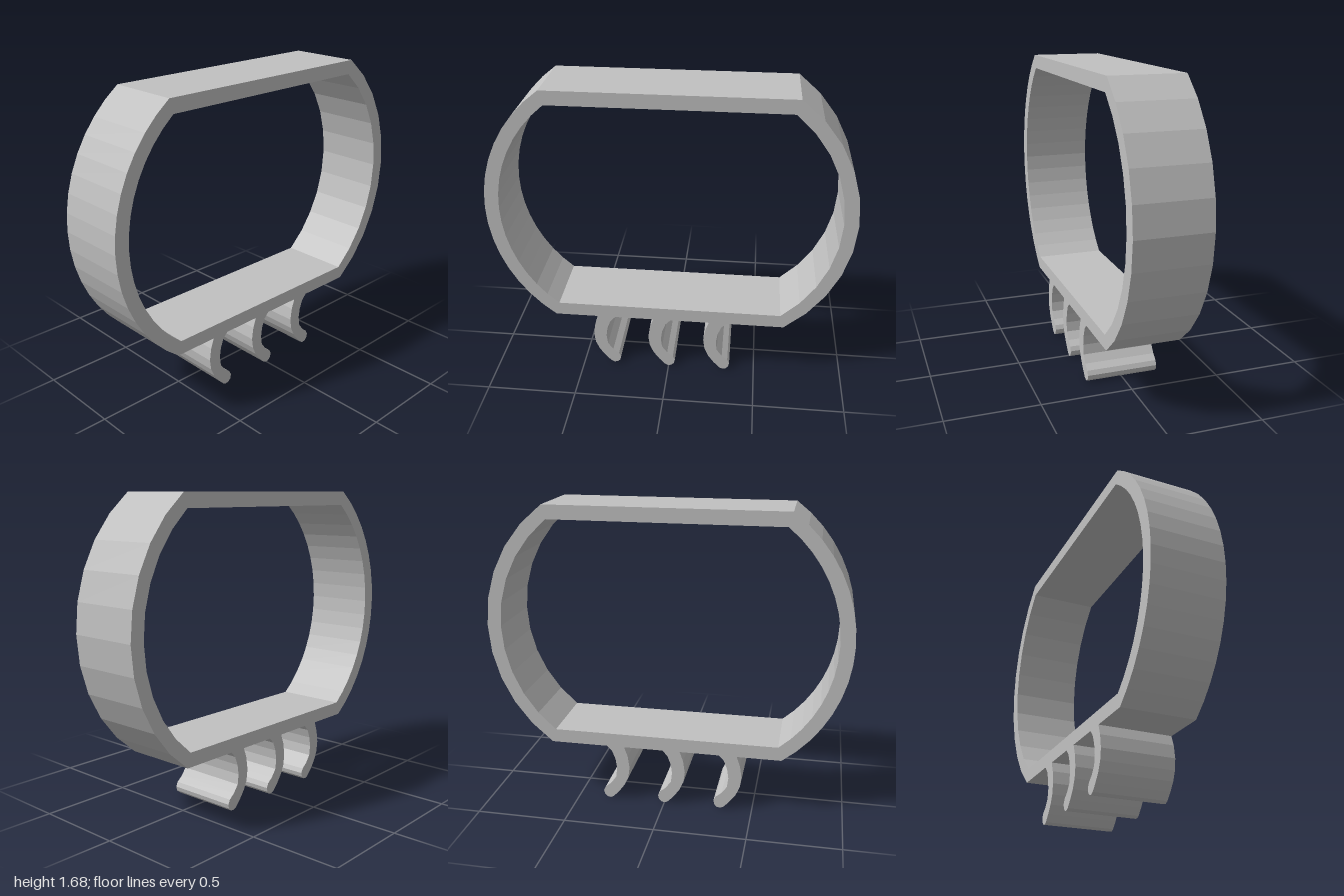
import * as THREE from 'three';

const DEPTH = 0.4;
const MID_Y = 1.003;

// Points of a circular bulge through (side * x, MID_Y -+ h), reaching side * tip at mid height, from bottom to top
function bulge(side, x, tip, h, segments) {
  const sag = tip - x;
  const r = (h * h + sag * sag) / (2 * sag);
  const a = Math.asin(h / r);
  const points = [];
  for (let i = 0; i <= segments; i++) {
    const t = -a + (2 * a * i) / segments;
    points.push(new THREE.Vector2(side * (tip - r + r * Math.cos(t)), MID_Y + r * Math.sin(t)));
  }
  return points;
}

// Flat top and bottom joined by curved ends; the left end has broader facets
function outline(x, tip, h) {
  return [...bulge(1, x, tip, h, 10), ...bulge(-1, x, tip, h, 16).reverse()];
}

function extrude(shape, material, name) {
  const geometry = new THREE.ExtrudeGeometry(shape, { depth: DEPTH, bevelEnabled: false, curveSegments: 8 });
  geometry.translate(0, 0, -DEPTH / 2);
  const mesh = new THREE.Mesh(geometry, material);
  mesh.name = name;
  return mesh;
}

export function createModel() {
  const group = new THREE.Group();
  group.name = 'hookedBand';
  const grey = new THREE.MeshStandardMaterial({ color: 0xc0c0c0, flatShading: true });
  grey.name = 'lightGrey';

  // Open band
  const bandShape = new THREE.Shape(outline(0.653, 1, 0.677));
  bandShape.holes.push(new THREE.Path(outline(0.632, 0.922, 0.6)));
  group.add(extrude(bandShape, grey, 'band'));

  // Three curved hooks with rounded tips under the band
  const profile = [
    [-0.088, 0.327], [-0.108, 0.27], [-0.118, 0.2], [-0.11, 0.14], [-0.088, 0.09],
    [-0.055, 0.045], [-0.022, 0.009], [-0.004, 0], [0.016, 0.003], [0.031, 0.018],
    [0.037, 0.042], [0.025, 0.067], [-0.008, 0.094], [-0.038, 0.135], [-0.045, 0.19],
    [-0.037, 0.245], [-0.018, 0.295], [0.012, 0.327],
  ];
  const hookShape = new THREE.Shape(profile.map(([x, y]) => new THREE.Vector2(x, y)));
  for (let i = -1; i <= 1; i++) {
    const hook = extrude(hookShape, grey, 'hook' + (i + 2));
    hook.position.x = i * 0.32;
    group.add(hook);
  }
  return group;
}
